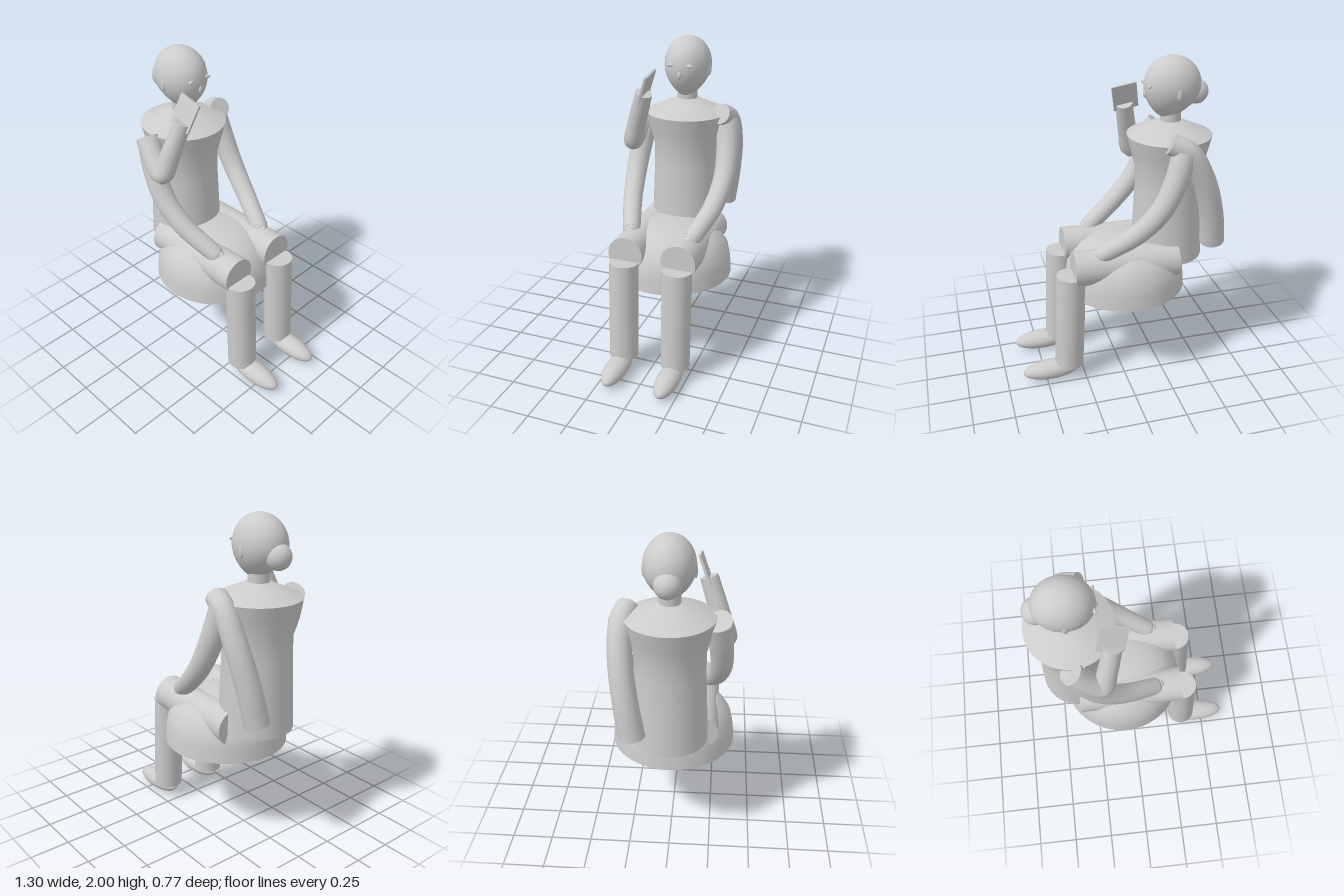
import * as THREE from 'three';
import { toCreasedNormals } from 'three/addons/utils/BufferGeometryUtils.js';

const V = (x, y, z) => new THREE.Vector3(x, y, z);
const material = new THREE.MeshStandardMaterial({ color: 0xcccccc });
const thinMaterial = new THREE.MeshStandardMaterial({ color: 0xcccccc, side: THREE.DoubleSide });

export function createModel() {
  const model = new THREE.Group();
  model.name = 'seatedFigure';

  function add(name, geometry, position = V(0, 0, 0), mat = material) {
    const mesh = new THREE.Mesh(geometry, mat);
    mesh.name = name;
    mesh.position.copy(position);
    model.add(mesh);
    return mesh;
  }

  function ellipsoid(name, position, rx, ry, rz) {
    return add(name, new THREE.SphereGeometry(1, 32, 20).scale(rx, ry, rz), position);
  }

  // Profile of [radius, height] pairs, listed from the bottom up
  function turned(name, profile, x) {
    const points = profile.map(([r, y]) => new THREE.Vector2(r, y));
    return add(name, toCreasedNormals(new THREE.LatheGeometry(points, 48), 0.5), V(x, 0, 0));
  }

  // Straight capped limb between two points
  function limb(name, from, to, rFrom, rTo) {
    const dir = to.clone().sub(from);
    const mesh = add(name, new THREE.CylinderGeometry(rTo, rFrom, dir.length(), 32),
      from.clone().add(to).multiplyScalar(0.5));
    mesh.quaternion.setFromUnitVectors(V(0, 1, 0), dir.normalize());
    return mesh;
  }

  // Curved limb: a tube tapering evenly from r0 to r1, with flat ends
  function curvedLimb(name, points, r0, r1) {
    const curve = new THREE.CatmullRomCurve3(points);
    const steps = 40, sides = 24;
    const tube = new THREE.TubeGeometry(curve, steps, 1, sides);
    const pos = tube.attributes.position;
    const v = V(0, 0, 0);
    for (let i = 0; i <= steps; i++) {
      const centre = curve.getPointAt(i / steps);
      const r = THREE.MathUtils.lerp(r0, r1, i / steps);
      for (let j = 0; j <= sides; j++) {
        const k = i * (sides + 1) + j;
        v.fromBufferAttribute(pos, k).sub(centre).multiplyScalar(r).add(centre);
        pos.setXYZ(k, v.x, v.y, v.z);
      }
    }
    add(name, tube);
    for (const [t, r, sign] of [[0, r0, -1], [1, r1, 1]]) {
      const cap = add(name + 'End', new THREE.CircleGeometry(r, sides), curve.getPointAt(t));
      cap.quaternion.setFromUnitVectors(V(0, 0, 1), curve.getTangentAt(t).multiplyScalar(sign));
    }
  }

  // Body and skirt, both with shallow conical undersides
  turned('torso', [[0, 0.7], [0.225, 0.735], [0.215, 1.0], [0.207, 1.2], [0.208, 1.32],
    [0.235, 1.43], [0.26, 1.53], [0.07, 1.615], [0, 1.62]], -0.345);
  turned('skirt', [[0, 0.525], [0.385, 0.55], [0.378, 0.64], [0.362, 0.72], [0.32, 0.785],
    [0.27, 0.83], [0.2, 0.863], [0.12, 0.882], [0, 0.888]], -0.065);
  limb('neck', V(-0.348, 1.58, 0), V(-0.348, 1.68, 0), 0.063, 0.063);

  // Egg-shaped head: the lower half narrows to the chin and moves forward
  function headShape(geometry, scale) {
    const p = geometry.attributes.position;
    for (let i = 0; i < p.count; i++) {
      const y = p.getY(i);
      const low = Math.max(0, -y);
      const narrow = 1 - 0.28 * low * low;
      p.setXYZ(i, scale * (p.getX(i) * 0.172 * narrow + 0.03 * low * low),
        scale * y * (y > 0 ? 0.172 : 0.193), scale * p.getZ(i) * 0.143 * narrow);
    }
    geometry.computeVertexNormals();
    return geometry;
  }
  const headCentre = V(-0.353, 1.826, 0);
  add('head', headShape(new THREE.SphereGeometry(1, 48, 32), 1), headCentre);

  // Hair cap tilted back, with a stepped hairline
  const cap = new THREE.SphereGeometry(1, 48, 24, 0, Math.PI * 2, 0, 1.62);
  const capPos = cap.attributes.position;
  for (let j = 0; j <= 48; j++) {
    const k = 24 * 49 + j;
    const theta = 1.6 + (Math.floor(j / 2) % 2 ? 0.05 : -0.02);
    const a = (j / 48) * Math.PI * 2;
    capPos.setXYZ(k, -Math.cos(a) * Math.sin(theta), Math.cos(theta), Math.sin(a) * Math.sin(theta));
  }
  add('hair', headShape(cap.rotateZ(0.68), 1.014), headCentre, thinMaterial);
  ellipsoid('hairBun', V(-0.502, 1.778, 0), 0.075, 0.075, 0.075);

  // Face
  ellipsoid('nose', V(-0.188, 1.785, 0), 0.014, 0.024, 0.014);
  for (const s of [1, -1]) {
    ellipsoid('ear', V(-0.355, 1.802, s * 0.138), 0.018, 0.04, 0.012);
    const brow = ellipsoid('brow', V(-0.2, 1.842, s * 0.05), 0.012, 0.012, 0.035);
    brow.rotation.y = s * 0.35;
  }

  // Legs, feet and the arms resting on the knees
  for (const s of [1, -1]) {
    limb('thigh', V(-0.35, 0.765, s * 0.175), V(0.303, 0.777, s * 0.17), 0.112, 0.11);
    limb('shin', V(0.348, 0.097, s * 0.172), V(0.318, 0.737, s * 0.172), 0.091, 0.091);
    ellipsoid('foot', V(0.46, 0.065, s * 0.172), 0.187, 0.06, 0.071).rotation.z = -0.03;
    curvedLimb('restingArm', [V(-0.35, 1.5, s * 0.265), V(-0.29, 1.32, s * 0.288),
      V(-0.205, 1.155, s * 0.293), V(-0.07, 1.01, s * 0.268), V(0.125, 0.868, s * 0.2)], 0.075, 0.055);
    ellipsoid('restingHand', V(0.125, 0.868, s * 0.2), 0.053, 0.053, 0.053);
    ellipsoid('fingertips', V(0.165, 0.868, s * 0.188), 0.028, 0.028, 0.028);
  }

  // Raised arm holding a flat device
  curvedLimb('raisedArm', [V(-0.355, 1.51, 0.275), V(-0.27, 1.405, 0.302), V(-0.195, 1.345, 0.312),
    V(-0.16, 1.47, 0.272), V(-0.118, 1.675, 0.205)], 0.07, 0.053);
  const up = V(0.035, 0.17, -0.065).normalize();
  const across = V(1, -0.06, 0).addScaledVector(up, -V(1, -0.06, 0).dot(up)).normalize();
  const device = add('handheldDevice', new THREE.BoxGeometry(0.155, 0.18, 0.014), V(-0.118, 1.722, 0.185));
  device.quaternion.setFromRotationMatrix(
    new THREE.Matrix4().makeBasis(across, up, across.clone().cross(up)));

  // Arm hanging behind the back
  curvedLimb('hangingArm', [V(-0.27, 1.55, -0.24), V(-0.37, 1.5, -0.268), V(-0.47, 1.33, -0.268),
    V(-0.548, 1.08, -0.235), V(-0.578, 0.872, -0.2)], 0.065, 0.077);

  return model;
}
